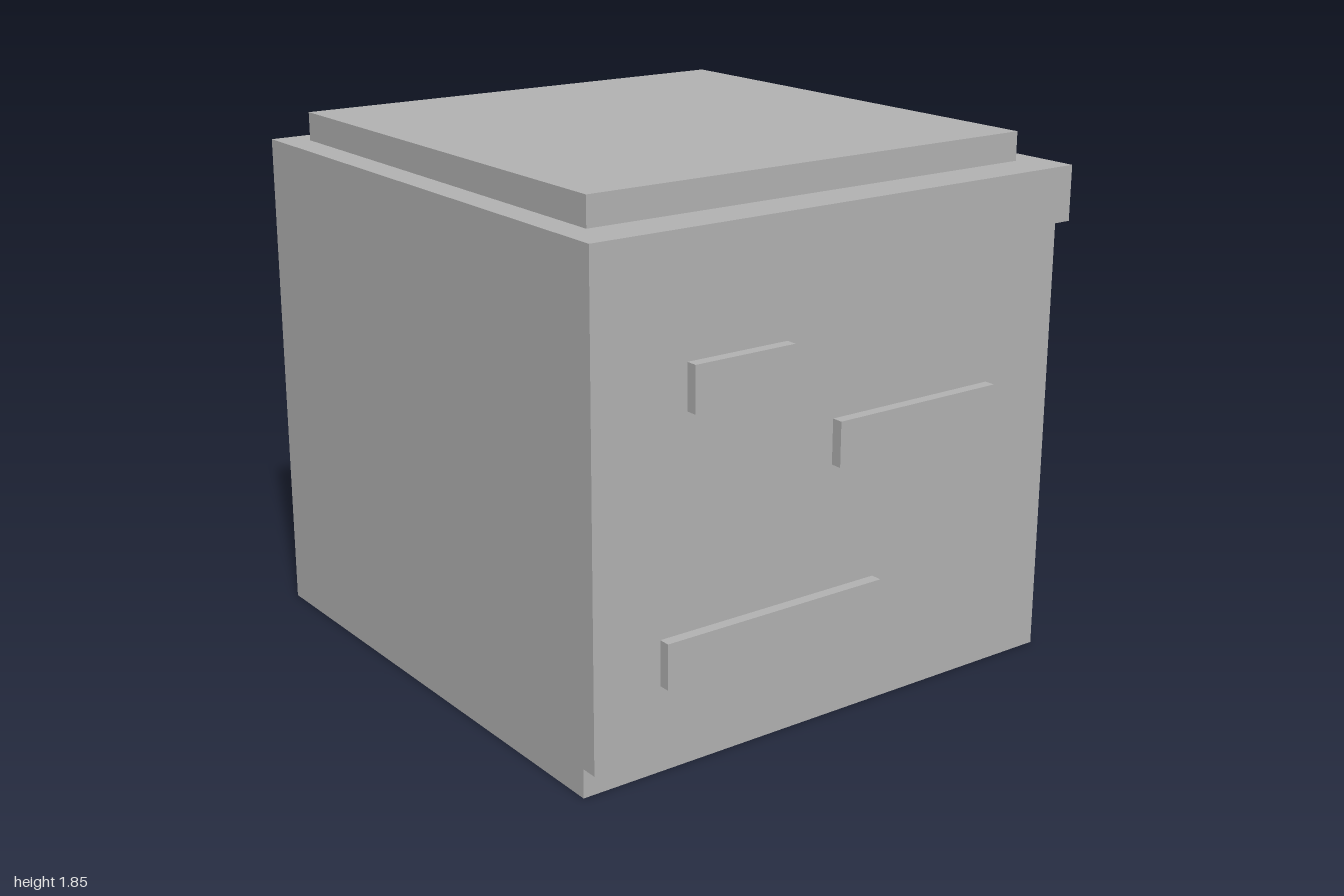
import * as THREE from 'three';

export function createModel() {
  const model = new THREE.Group();
  const grey = new THREE.MeshStandardMaterial({ color: 0xb2b2b2 });
  grey.name = 'plain grey';

  const add = (name, geometry) => {
    const mesh = new THREE.Mesh(geometry, grey);
    mesh.name = name;
    model.add(mesh);
    return mesh;
  };

  // Box given by its lower and upper bounds on each axis
  const box = (name, [x0, x1], [y0, y1], [z0, z1]) =>
    add(name, new THREE.BoxGeometry(x1 - x0, y1 - y0, z1 - z0))
      .position.set((x0 + x1) / 2, (y0 + y1) / 2, (z0 + z1) / 2);

  const front = 0.94;

  // Main block and the raised slab on top
  box('body', [-0.97, 0.97], [0, 1.75], [-1, front]);
  box('topSlab', [-0.87, 0.87], [1.75, 1.85], [-0.9, 0.84]);

  // L-shaped frame along the top and one side of the front
  const frame = new THREE.Shape([
    [-0.97, 0.1], [-0.78, 0.1], [-0.78, 1.56],
    [0.97, 1.56], [0.97, 1.75], [-0.97, 1.75],
  ].map(([x, y]) => new THREE.Vector2(x, y)));
  add('frontFrame', new THREE.ExtrudeGeometry(frame, { depth: 0.06, bevelEnabled: false }))
    .position.z = front;

  // Raised bars on the front: left, right, bottom
  [[-0.58, -0.195, 1.17], [0, 0.675, 0.88], [-0.68, 0.19, 0.295]].forEach(([x0, x1, y], i) =>
    box(`frontBar${i + 1}`, [x0, x1], [y, y + 0.155], [front, 0.98]));

  return model;
}
